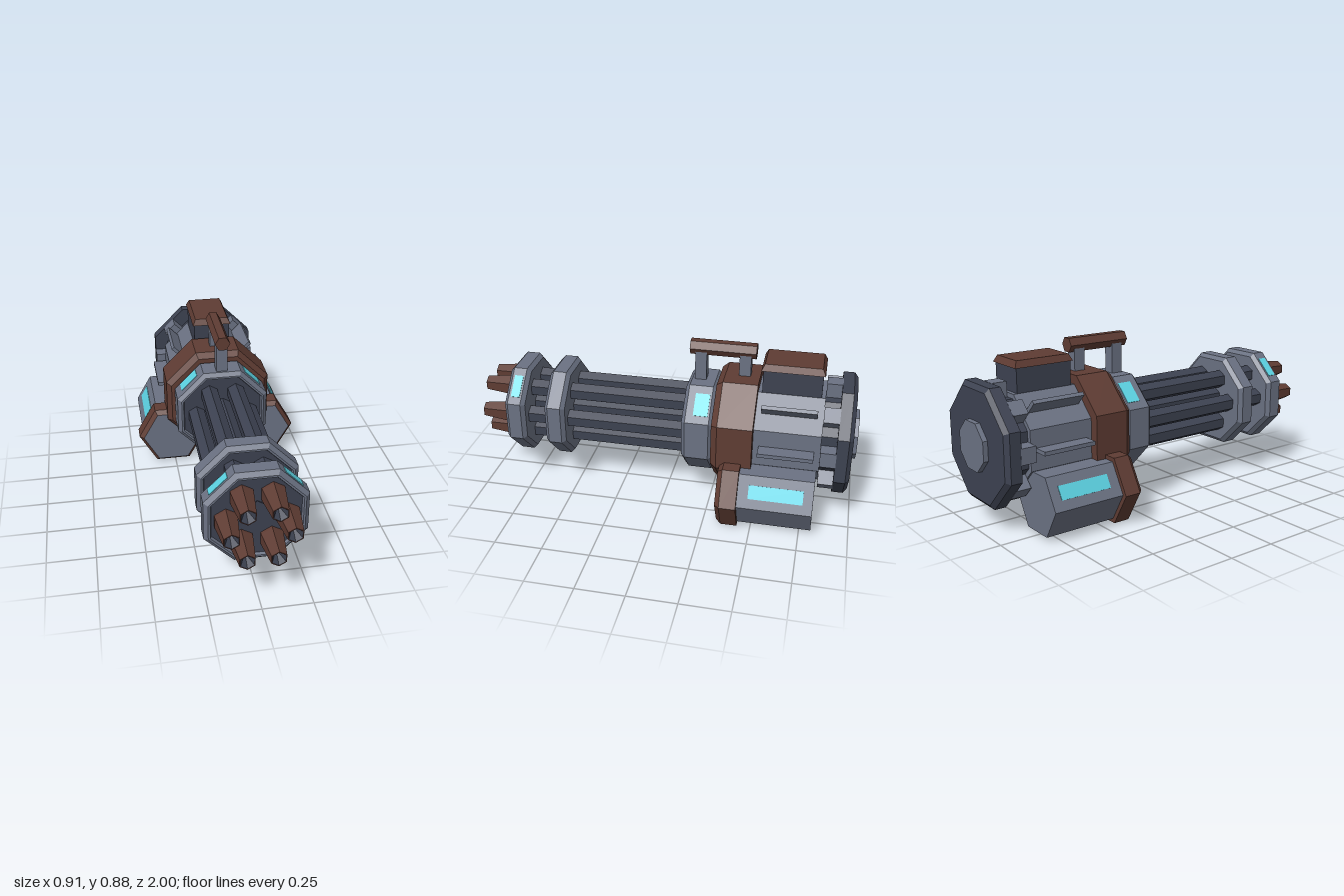
import * as THREE from 'three';

const AXIS_Y = 0.418;

export function createModel() {
  const mat = (name, color) => {
    const m = new THREE.MeshStandardMaterial({ color });
    m.name = name;
    return m;
  };
  const grey = mat('steel grey', 0x6b7283);
  const dark = mat('dark steel', 0x3d4251);
  const brown = mat('rust brown', 0x5f3c33);
  const cyan = mat('cyan light', 0x5cd3e3);

  const root = new THREE.Group();

  // Adds a flat-shaded mesh
  function add(name, geo, material, parent = root) {
    const g = geo.index ? geo.toNonIndexed() : geo;
    g.computeVertexNormals();
    const mesh = new THREE.Mesh(g, material);
    mesh.name = name;
    parent.add(mesh);
    return mesh;
  }

  // Polygonal solid along z from a [radius, z] profile, back to front
  function prism(profile, sides, phase) {
    const pts = profile.map(([r, z]) => new THREE.Vector2(r, z));
    return new THREE.LatheGeometry(pts, sides, phase).rotateX(Math.PI / 2);
  }
  // Octagon with flat top; profile holds distances to the flats
  function octagon(profile) {
    const k = 1 / Math.cos(Math.PI / 8);
    return prism(profile.map(([a, z]) => [a * k, z]), 8, Math.PI / 8).translate(0, AXIS_Y, 0);
  }
  function box(x0, x1, y0, y1, z0, z1) {
    return new THREE.BoxGeometry(x1 - x0, y1 - y0, z1 - z0)
      .translate((x0 + x1) / 2, (y0 + y1) / 2, (z0 + z1) / 2);
  }
  // Box reaching outwards from the main axis at a given angle
  function radialBox(r0, r1, width, z0, z1, angle) {
    return box(r0, r1, -width / 2, width / 2, z0, z1).rotateZ(angle).translate(0, AXIS_Y, 0);
  }

  // Chamfered grey rings with recessed dark faces
  function ring(name, z0, z1) {
    const a = 0.248, c = 0.02;
    add(name, octagon([[0, z0], [a - c, z0], [a, z0 + c], [a, z1 - c], [a - c, z1],
      [0.218, z1], [0.212, z1 - 0.015]]), grey);
    add(name + 'Face', octagon([[0.213, z1 - 0.015], [0, z1 - 0.015]]), dark);
  }
  ring('frontRing', 0.74, 0.85);
  ring('middleRing', 0.52, 0.63);
  ring('rearRing', -0.27, -0.107);

  // Lights on the upper diagonals of the front and rear rings
  for (const [z0, z1] of [[0.77, 0.818], [-0.24, -0.165]]) {
    for (const angle of [Math.PI / 4, Math.PI * 3 / 4]) {
      add('ringLight', radialBox(0.245, 0.251, 0.12, z0, z1, angle), cyan);
    }
  }

  // Barrel cluster
  add('barrelCore', prism([[0.09, -0.13], [0.09, 0.84]], 6, 0).translate(0, AXIS_Y, 0), dark);
  for (let i = 0; i < 6; i++) {
    const t = i * Math.PI / 3;
    const barrel = new THREE.Group();
    barrel.name = 'barrel';
    barrel.position.set(0.145 * Math.cos(t), AXIS_Y + 0.145 * Math.sin(t), 0);
    add('barrelTube', prism([[0.05, -0.13], [0.05, 0.84]], 6, 0), dark, barrel);
    add('muzzle', prism([[0.061, 0.83], [0.061, 0.85], [0.042, 1], [0.037, 1]], 6, 0), brown, barrel);
    add('muzzleBore', prism([[0.037, 1], [0, 0.93]], 6, 0), dark, barrel);
    root.add(barrel);
  }

  // Main housing
  add('collar', octagon([[0, -0.48], [0.29, -0.48], [0.29, -0.3], [0.265, -0.267], [0, -0.267]]), brown);
  add('body', octagon([[0, -0.82], [0.243, -0.82], [0.243, -0.47]]), grey);
  add('rearNeck', octagon([[0.22, -0.9], [0.22, -0.81]]), dark);
  add('rearDisc', octagon([[0, -0.975], [0.272, -0.975], [0.295, -0.955], [0.295, -0.897], [0, -0.897]]), dark);
  add('rearBoss', octagon([[0, -1], [0.12, -1], [0.12, -0.97]]), grey);

  // Lugs in front of the rear disc
  for (let i = 0; i < 8; i++) {
    add('rearLug', radialBox(0.18, 0.296, 0.08, -0.9, -0.82, i * Math.PI / 4), grey);
  }
  // Cooling fins on the sides and upper diagonals
  for (const a of [0, 0.25, 0.75, 1]) {
    add('fin', radialBox(0.235, 0.32, 0.02, -0.79, -0.51, a * Math.PI), grey);
  }

  // Top box with a sloped lid
  add('topBox', box(-0.1, 0.1, 0.62, 0.786, -0.8, -0.5), dark);
  const lid = box(-0.108, 0.108, 0.783, 0.817, -0.81, -0.49);
  const p = lid.attributes.position;
  for (let i = 0; i < p.count; i++) {
    if (p.getY(i) > 0.8) {
      p.setX(i, p.getX(i) * 0.85);
      p.setZ(i, -0.65 + (p.getZ(i) + 0.65) * 0.9);
    }
  }
  add('topBoxLid', lid, brown);

  // Carrying handle
  for (const z of [-0.17, -0.4]) {
    add('handlePost', box(-0.03, 0.03, 0.64, 0.83, z - 0.03, z + 0.03), grey);
  }
  add('handleBar', prism([[0, -0.455], [0.041, -0.455], [0.041, -0.112], [0, -0.112]], 6, Math.PI / 6)
    .translate(0, 0.84, 0), brown);

  // Hexagonal side pods
  for (const s of [1, -1]) {
    const pod = new THREE.Group();
    pod.name = s > 0 ? 'leftPod' : 'rightPod';
    pod.position.set(s * 0.262, 0.168, 0);
    const hex = (profile) => prism(profile, 6, Math.PI / 6);
    add('podBody', hex([[0, -0.81], [0.17, -0.81], [0.17, -0.42]]), grey, pod);
    add('podRim', hex([[0, -0.43], [0.194, -0.43], [0.194, -0.345], [0.17, -0.32]]), brown, pod);
    add('podFace', hex([[0.17, -0.32], [0, -0.32]]), grey, pod);
    const light = box(0.144, 0.15, -0.035, 0.035, -0.76, -0.485)
      .rotateZ(s > 0 ? Math.PI / 6 : Math.PI * 5 / 6);
    add('podLight', light, cyan, pod);
    root.add(pod);
  }

  return root;
}
